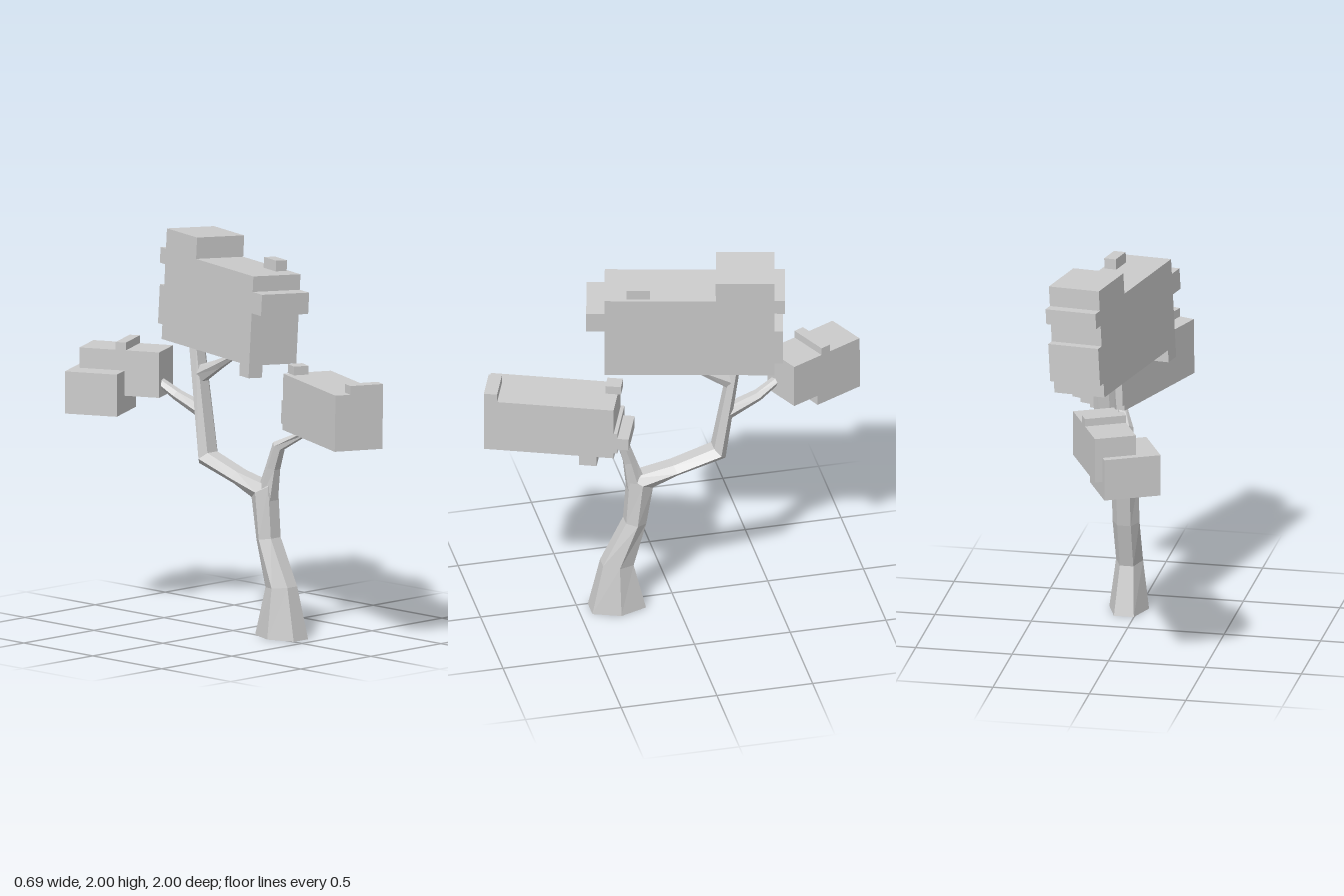
import * as THREE from 'three';

const material = new THREE.MeshStandardMaterial({ color: 0xcccccc, flatShading: true });

// Six-sided limb. Each ring: [x, y, z, half width in x, half depth, backward tilt in degrees]
function limb(name, rings) {
  const pos = [], idx = [], n = 6;
  for (const [x, y, z, rx, rn, tilt] of rings) {
    const a = THREE.MathUtils.degToRad(tilt);
    for (let k = 0; k < n; k++) {
      const t = (k * Math.PI) / 3;
      const d = (Math.sin(t) / Math.sin(Math.PI / 3)) * rn;
      pos.push(x + Math.cos(t) * rx, y + d * Math.sin(a), z + d * Math.cos(a));
    }
  }
  for (let r = 0; r < rings.length - 1; r++) {
    for (let k = 0; k < n; k++) {
      const a = r * n + k, a2 = r * n + ((k + 1) % n);
      idx.push(a, a + n, a2, a2, a + n, a2 + n);
    }
  }
  const top = (rings.length - 1) * n;
  for (let k = 1; k < n - 1; k++) {
    idx.push(0, k, k + 1, top, top + k + 1, top + k);
  }
  const indexed = new THREE.BufferGeometry();
  indexed.setAttribute('position', new THREE.Float32BufferAttribute(pos, 3));
  indexed.setIndex(idx);
  const geometry = indexed.toNonIndexed();
  geometry.computeVertexNormals();
  const mesh = new THREE.Mesh(geometry, material);
  mesh.name = name;
  return mesh;
}

// Blocky leaf mass. Each block: [name, x0, x1, y0, y1, z0, z1] in the crown's own frame
function crown(name, position, yaw, roll, blocks) {
  const group = new THREE.Group();
  group.name = name;
  group.position.set(...position);
  group.rotation.set(0, yaw, roll, 'YXZ');
  for (const [part, x0, x1, y0, y1, z0, z1] of blocks) {
    const mesh = new THREE.Mesh(new THREE.BoxGeometry(x1 - x0, y1 - y0, z1 - z0), material);
    mesh.position.set((x0 + x1) / 2, (y0 + y1) / 2, (z0 + z1) / 2);
    mesh.name = part;
    group.add(mesh);
  }
  return group;
}

export function createModel() {
  const model = new THREE.Group();
  model.name = 'tree';

  // Bent trunk and its branches
  model.add(
    limb('trunk', [
      [0.052, 0.0, 0.3, 0.103, 0.14, 0],
      [0.05, 0.26, 0.3, 0.07, 0.08, 6],
      [0.05, 0.5, 0.207, 0.07, 0.053, 8],
      [0.05, 0.74, 0.18, 0.07, 0.07, 30],
      [0.05, 0.79, 0.0, 0.07, 0.033, 70],
      [0.05, 0.86, -0.23, 0.07, 0.042, 45],
      [0.06, 1.45, -0.325, 0.055, 0.022, 9],
    ]),
    limb('frontBranch', [
      [0.05, 0.69, 0.19, 0.06, 0.055, 0],
      [0.055, 0.87, 0.235, 0.042, 0.032, -18],
      [0.06, 0.985, 0.272, 0.035, 0.03, -35],
      [0.125, 1.07, 0.42, 0.03, 0.012, -62],
    ]),
    limb('upperBranch', [
      [0.06, 1.28, -0.3, 0.045, 0.045, -60],
      [0.06, 1.35, -0.16, 0.03, 0.024, -60],
      [0.05, 1.43, 0.0, 0.012, 0.008, -60],
    ]),
    limb('backBranch', [
      [0.06, 1.09, -0.27, 0.045, 0.035, 65],
      [0.04, 1.155, -0.44, 0.035, 0.025, 65],
      [0.01, 1.225, -0.56, 0.028, 0.018, 58],
    ]),
  );

  // Large top crown
  model.add(crown('topCrown', [0.05, 1.428, -0.08], -0.236, -0.055, [
    ['mainBlock', -0.14, 0.14, 0, 0.46, -0.432, 0.432],
    ['raisedBlock', -0.14, 0.14, 0.46, 0.57, -0.432, -0.134],
    ['frontLedge', -0.14, 0.14, 0.27, 0.38, 0.432, 0.525],
    ['upperBackLedge', -0.14, 0.14, 0.385, 0.465, -0.485, -0.432],
    ['lowerBackLedge', -0.14, 0.14, 0.075, 0.275, -0.475, -0.432],
    ['topKnob', 0.06, 0.125, 0.46, 0.515, 0.2, 0.32],
    ['hangingKnob', -0.14, -0.06, -0.065, 0, 0.34, 0.432],
  ]));

  // Front crown
  model.add(crown('frontCrown', [0.077, 1.065, 0.643], -0.367, -0.015, [
    ['mainBlock', -0.132, 0.132, 0, 0.29, -0.333, 0.333],
    ['backLedge', -0.09, 0.132, 0.055, 0.12, -0.41, -0.333],
    ['backStep', -0.132, 0.132, 0.03, 0.15, -0.352, -0.333],
    ['frontKnob', -0.05, 0.132, 0.29, 0.335, 0.265, 0.333],
    ['backKnob', -0.1, -0.02, 0.29, 0.335, -0.35, -0.27],
    ['hangingKnob', 0.052, 0.132, -0.055, 0, -0.245, -0.155],
  ]));

  // Small back crown
  model.add(crown('backCrown', [-0.028, 1.14, -0.745], 0.458, 0, [
    ['mainBlock', -0.108, 0.108, 0, 0.235, -0.215, 0.215],
    ['topStrip', -0.108, 0.108, 0.235, 0.275, -0.02, 0.035],
    ['lowerBlock', -0.228, 0.068, -0.088, 0.13, -0.252, 0.028],
  ]));

  return model;
}
